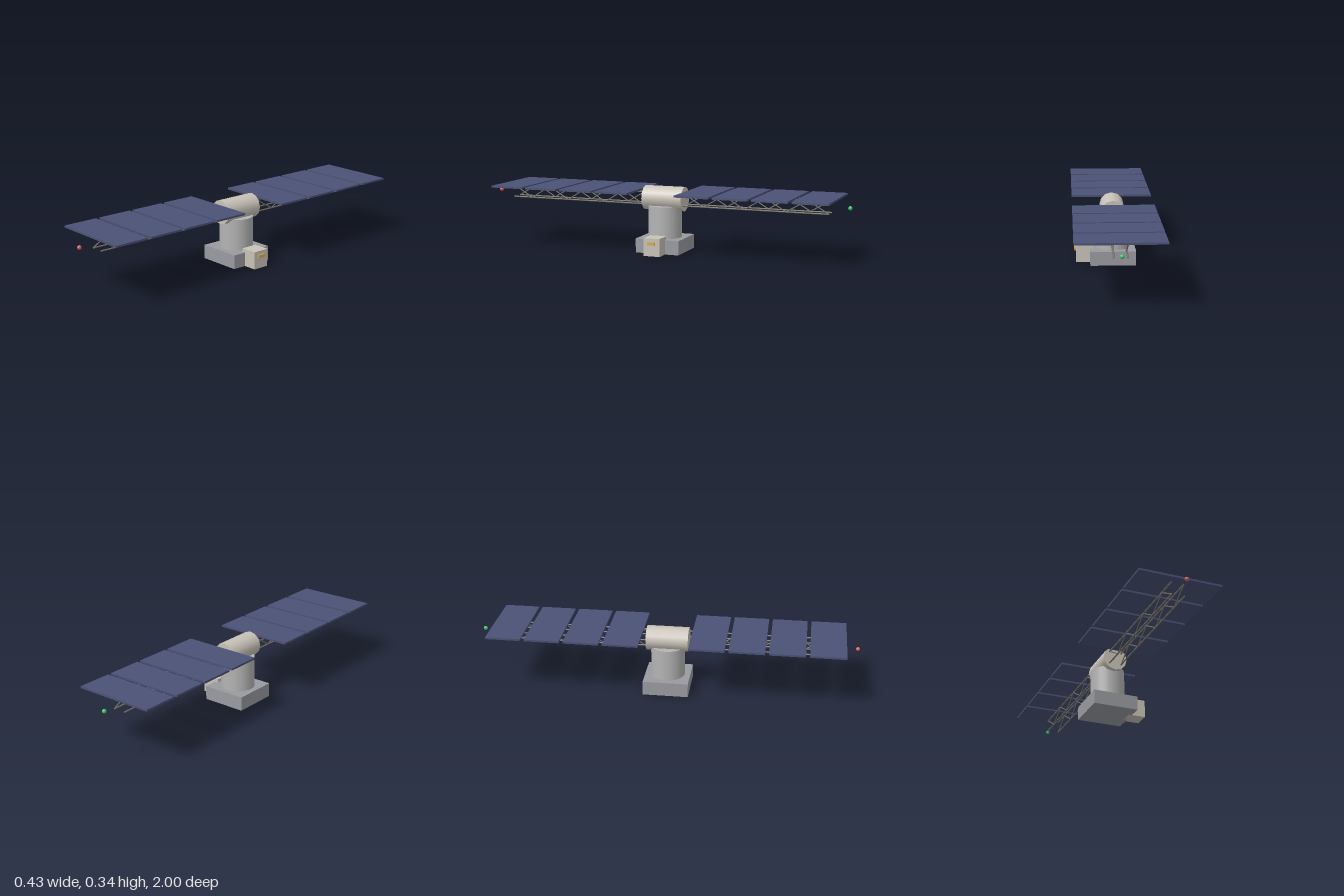
import * as THREE from 'three';

const mat = (color) => new THREE.MeshStandardMaterial({ color });
const COLORS = {
  base: mat(0x9a9ba1), body: mat(0xb4b4b4), shell: mat(0xc9c3b8), truss: mat(0x77736b),
  panel: mat(0x4a5276), plate: mat(0xd0ad50), red: mat(0xd0605a), green: mat(0x40c070),
};

function add(parent, name, geometry, material, x = 0, y = 0, z = 0) {
  const mesh = new THREE.Mesh(geometry, material);
  mesh.name = name;
  mesh.position.set(x, y, z);
  parent.add(mesh);
  return mesh;
}

// Round bar between two points
function bar(parent, name, a, b, radius) {
  const dir = b.clone().sub(a);
  const mesh = add(parent, name, new THREE.CylinderGeometry(radius, radius, dir.length(), 8), COLORS.truss);
  mesh.position.copy(a).add(b).multiplyScalar(0.5);
  mesh.quaternion.setFromUnitVectors(new THREE.Vector3(0, 1, 0), dir.normalize());
}

// One wing along +z: box truss, four solar panels and a tip light
function createWing(name, lightMaterial) {
  const wing = new THREE.Group();
  wing.name = name;
  const z0 = 0.1, z1 = 0.89, low = 0.248, high = 0.313, halfWidth = 0.032;
  const bays = 7, zStart = 0.115;
  const step = (z1 - zStart) / bays;

  for (const side of [-1, 1]) {
    const x = side * halfWidth;
    for (const y of [low, high]) {
      bar(wing, 'trussChord', new THREE.Vector3(x, y, z0), new THREE.Vector3(x, y, z1), 0.004);
    }
    // Zigzag bracing, in opposite phase on the two sides
    for (let i = 0; i < bays; i++) {
      const startsLow = (i % 2 === 0) === (side < 0);
      bar(wing, 'trussBrace',
        new THREE.Vector3(x, startsLow ? low : high, z1 - i * step),
        new THREE.Vector3(x, startsLow ? high : low, z1 - (i + 1) * step), 0.003);
    }
  }

  for (let i = 0; i < 4; i++) {
    add(wing, 'solarPanel', new THREE.BoxGeometry(0.428, 0.01, 0.185), COLORS.panel, 0, 0.322, 0.222 + i * 0.205);
  }
  add(wing, 'tipLight', new THREE.SphereGeometry(0.011, 16, 12), lightMaterial, 0, 0.28, 0.989);
  return wing;
}

export function createModel() {
  const model = new THREE.Group();
  model.name = 'solarArrayModule';

  // Pedestal
  add(model, 'base', new THREE.BoxGeometry(0.24, 0.075, 0.24), COLORS.base, 0, 0.0375, 0);
  add(model, 'column', new THREE.CylinderGeometry(0.09, 0.09, 0.168, 24), COLORS.body, 0, 0.159, 0);

  // Rotary hub lying along z
  const hub = add(model, 'hub', new THREE.CylinderGeometry(0.065, 0.065, 0.222, 12), COLORS.shell, 0, 0.28, 0);
  hub.rotation.x = Math.PI / 2;

  // Equipment box with its plate
  add(model, 'equipmentBox', new THREE.BoxGeometry(0.093, 0.094, 0.09), COLORS.shell, 0.148, 0.047, 0);
  add(model, 'boxPlate', new THREE.BoxGeometry(0.012, 0.016, 0.042), COLORS.plate, 0.197, 0.067, 0);

  // Two wings, the rear one turned half a turn
  model.add(createWing('frontWing', COLORS.red));
  const rear = createWing('rearWing', COLORS.green);
  rear.rotation.y = Math.PI;
  model.add(rear);
  return model;
}
